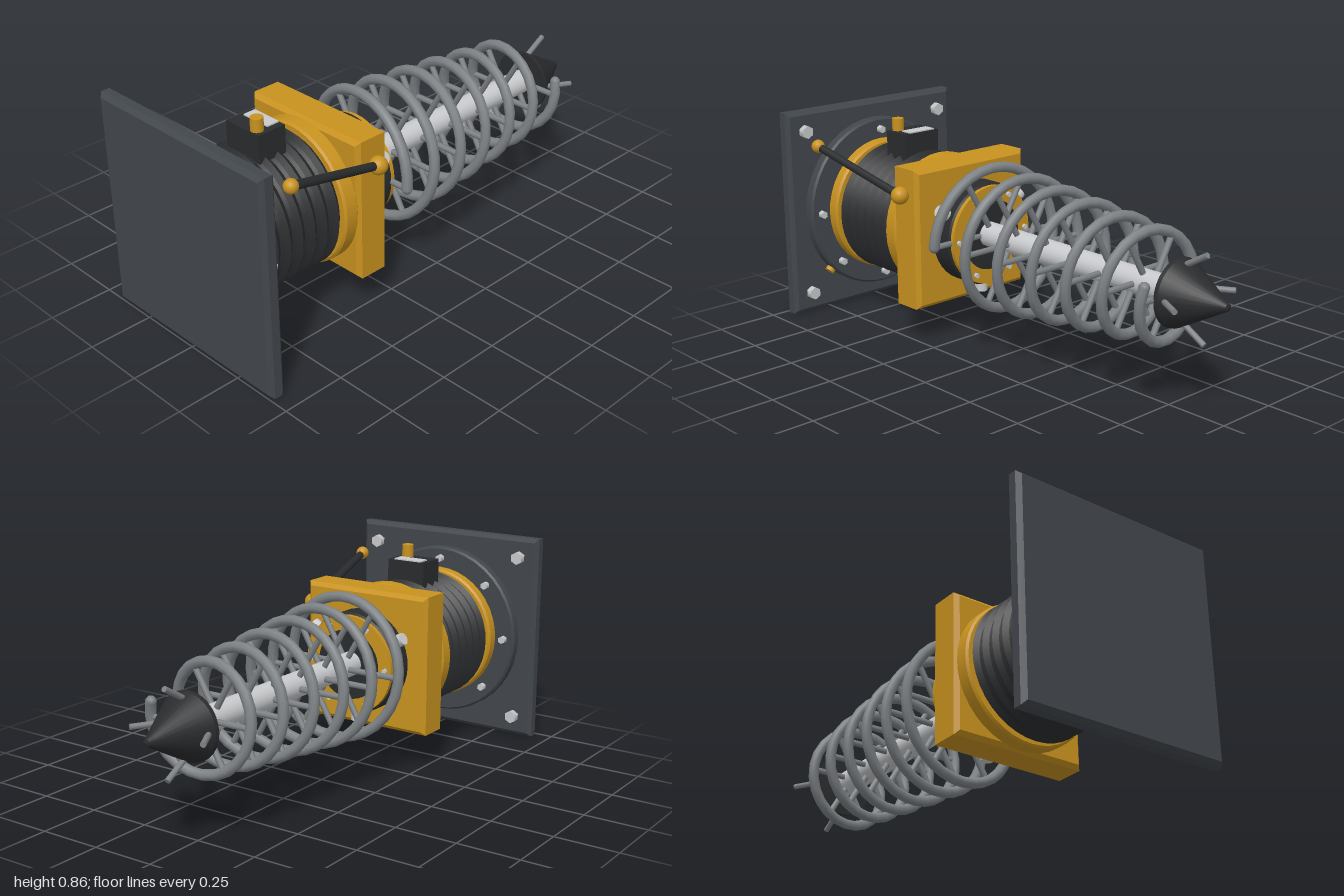
import * as THREE from 'three';
import { mergeGeometries } from 'three/addons/utils/BufferGeometryUtils.js';

const material = (name, color) => new THREE.MeshStandardMaterial({ name, color });

export function createModel() {
  const slate = material('slate', 0x42474c);
  const black = material('black', 0x2a2b2d);
  const gold = material('gold', 0xc8921f);
  const silver = material('silver', 0xc9cacd);
  const steel = material('steel', 0x7d8285);

  const model = new THREE.Group();
  model.name = 'screwAnchor';
  // everything is laid out around the central z axis
  const axis = new THREE.Group();
  axis.name = 'axisAssembly';
  axis.position.y = 0.4275;
  model.add(axis);

  const add = (name, geometry, mat, x = 0, y = 0, z = 0) => {
    const mesh = new THREE.Mesh(geometry, mat);
    mesh.name = name;
    mesh.position.set(x, y, z);
    axis.add(mesh);
    return mesh;
  };

  // turned part with sharp edges; profile is [radius, z] with z rising
  const turned = (name, mat, profile, sides = 40) => {
    const bands = [];
    for (let i = 0; i < profile.length - 1; i++) {
      const pair = [profile[i], profile[i + 1]].map(([r, z]) => new THREE.Vector2(r, z));
      bands.push(new THREE.LatheGeometry(pair, sides));
    }
    return add(name, mergeGeometries(bands).rotateX(Math.PI / 2), mat);
  };

  const disc = (name, mat, r, z0, z1, b) =>
    turned(name, mat, [[0, z0], [r - b, z0], [r, z0 + b], [r, z1 - b], [r - b, z1], [0, z1]]);

  // square block with chamfered edges
  const chamferBlock = (name, mat, w, h, z0, z1, b) => {
    const x = w / 2 - b, y = h / 2 - b;
    const shape = new THREE.Shape([[-x, -y], [x, -y], [x, y], [-x, y]].map(p => new THREE.Vector2(...p)));
    const geometry = new THREE.ExtrudeGeometry(shape, {
      depth: z1 - z0 - 2 * b, bevelEnabled: true, bevelSegments: 1, bevelSize: b, bevelThickness: b,
    });
    return add(name, geometry, mat, 0, 0, z0 + b);
  };

  // round bar between two points
  const bar = (name, mat, from, to, r, sides = 10) => {
    const dir = to.clone().sub(from);
    const mesh = add(name, new THREE.CylinderGeometry(r, r, dir.length(), sides), mat);
    mesh.position.copy(from).addScaledVector(dir, 0.5);
    mesh.quaternion.setFromUnitVectors(new THREE.Vector3(0, 1, 0), dir.normalize());
    return mesh;
  };

  const polar = (r, a, z) => new THREE.Vector3(r * Math.cos(a), r * Math.sin(a), z);

  // base plate, round flange and their bolts
  chamferBlock('basePlate', slate, 0.855, 0.855, 0.935, 1, 0.016);
  disc('baseFlange', slate, 0.36, 0.885, 0.936, 0.008);
  for (const sx of [-1, 1]) for (const sy of [-1, 1]) {
    const p = new THREE.Vector3(sx * 0.345, sy * 0.345, 0.94);
    bar('plateBolt', silver, p, p.clone().setZ(0.908), 0.027, 6);
  }
  for (let i = 0; i < 8; i++) {
    const a = i * Math.PI / 4;
    bar('flangeBolt', silver, polar(0.313, a, 0.89), polar(0.313, a, 0.862), 0.016, 6);
  }
  bar('groundFitting', gold, polar(0.33, -Math.PI / 4, 0.915), polar(0.375, -Math.PI / 4, 0.915), 0.02, 12);

  // bellows between two gold rings
  disc('frontRing', gold, 0.276, 0.832, 0.886, 0.008);
  const folds = 6, z0 = 0.5, z1 = 0.835;
  const bellows = [[0.245, z0]];
  for (let i = 0; i < folds; i++) {
    const s = (z1 - z0) / folds, z = z0 + i * s;
    bellows.push([0.252, z + s * 0.22], [0.27, z + s * 0.5], [0.252, z + s * 0.78], [0.245, z + s]);
  }
  turned('bellows', black, bellows);
  disc('rearRing', gold, 0.279, 0.44, 0.505, 0.008);

  // gearbox block and collar with three lugs
  chamferBlock('gearBlock', gold, 0.56, 0.56, 0.3, 0.445, 0.016);
  disc('collar', black, 0.205, 0.198, 0.302, 0.008);
  for (const deg of [30, 150, 270]) {
    const a = THREE.MathUtils.degToRad(deg);
    bar('collarLug', silver, polar(0.17, a, 0.248), polar(0.245, a, 0.248), 0.025, 12);
  }
  turned('collarRing', gold, [[0.14, 0.182], [0.198, 0.182], [0.198, 0.199]]);
  for (let i = 0; i < 6; i++) {
    const a = i * Math.PI / 3;
    bar('collarBolt', silver, polar(0.172, a, 0.185), polar(0.172, a, 0.17), 0.011, 6);
  }

  // control box on top of the bellows
  add('controlBox', new THREE.BoxGeometry(0.17, 0.11, 0.12), black, 0.002, 0.29, 0.662);
  add('controlPanel', new THREE.BoxGeometry(0.125, 0.006, 0.052), silver, -0.003, 0.347, 0.632);
  add('controlKnob', new THREE.CylinderGeometry(0.024, 0.024, 0.055, 16), gold, 0.05, 0.368, 0.695);

  // side link with ball ends
  const linkRear = new THREE.Vector3(0.305, 0.178, 0.37);
  const linkFront = new THREE.Vector3(0.36, 0.305, 0.82);
  bar('linkRod', black, linkRear, linkFront, 0.016, 12);
  add('linkRearBall', new THREE.SphereGeometry(0.035, 16, 12), gold).position.copy(linkRear);
  add('linkFrontBall', new THREE.SphereGeometry(0.027, 16, 12), gold).position.copy(linkFront);

  // central shaft
  bar('shaft', silver, new THREE.Vector3(0, 0, -0.775), new THREE.Vector3(0, 0, 0.2), 0.049, 20);

  // tapering helical blade rail
  const turns = 6.05;
  const helixPoint = t => polar(0.28 - 0.095 * t, t * turns * Math.PI * 2, 0.2 - 0.975 * t);
  class Helix extends THREE.Curve {
    getPoint(t, target = new THREE.Vector3()) { return target.copy(helixPoint(t)); }
  }
  add('helixRail', new THREE.TubeGeometry(new Helix(), 170, 0.021, 8, false), steel);
  for (const t of [0, 1]) add('helixEnd', new THREE.SphereGeometry(0.021, 8, 6), steel).position.copy(helixPoint(t));

  // spokes joining the rail to the shaft
  const spokes = 36;
  for (let i = 0; i <= spokes; i++) {
    const end = helixPoint(i / 6 / turns);
    bar('helixSpoke', steel, new THREE.Vector3(0, 0, end.z), end, 0.012, 8);
  }

  // pointed tip with four slanted teeth
  turned('tipCone', black, [[0, -1], [0.014, -0.995], [0.024, -0.975], [0.126, -0.79], [0.128, -0.775], [0, -0.77]], 28);
  for (let i = 0; i < 4; i++) {
    const a = i * Math.PI / 2;
    bar('tipTooth', steel, polar(0.095, a, -0.785), polar(0.162, a, -0.9), 0.011, 8);
  }

  return model;
}
